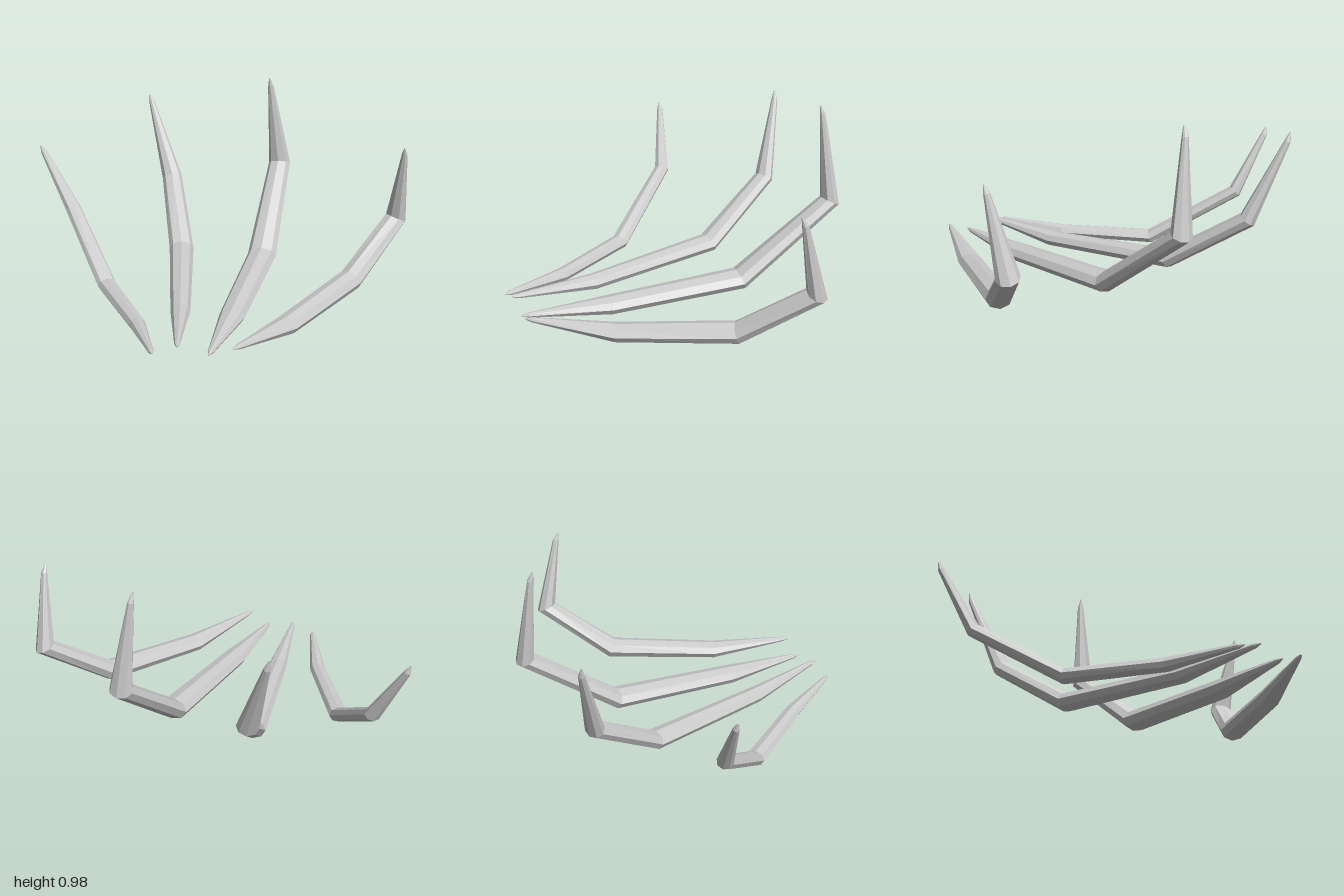
import * as THREE from 'three';

const SIDES = 8;

// Each claw: front point, three bend rings [x, y, z, half width, half thickness], raised point
const CLAWS = [
  { name: 'clawFarRight', path: [
    [-0.03, 0.07, 0.85], [-0.21, 0.04, 0.51, 0.042, 0.034], [-0.5, 0.042, 0.11, 0.05, 0.038],
    [-0.805, 0.32, -0.235, 0.042, 0.036], [-0.995, 0.655, -0.28]] },
  { name: 'clawInnerRight', path: [
    [0.085, 0.112, 0.835], [-0.02, 0.075, 0.39, 0.05, 0.04], [-0.205, 0.11, -0.31, 0.066, 0.047],
    [-0.365, 0.385, -0.695, 0.055, 0.045], [-0.525, 0.83, -0.81]] },
  { name: 'clawInnerLeft', path: [
    [0.232, 0.08, 0.82], [0.24, 0.072, 0.37, 0.065, 0.045], [0.245, 0.113, -0.32, 0.077, 0.052],
    [0.24, 0.485, -0.81, 0.06, 0.05], [0.183, 0.985, -0.757]] },
  { name: 'clawFarLeft', path: [
    [0.35, 0.13, 0.825], [0.52, 0.078, 0.42, 0.062, 0.044], [0.755, 0.112, -0.115, 0.066, 0.054],
    [0.945, 0.36, -0.425, 0.058, 0.054], [0.978, 0.78, -0.315]] },
];

// Lofts faceted oval rings along the bent path of one claw
function clawGeometry(path) {
  const pts = path.map(([x, y, z]) => new THREE.Vector3(x, y, z));
  const along = pts[3].clone().sub(pts[0]).setY(0).normalize();
  const sideways = new THREE.Vector3(0, 1, 0).cross(along).normalize();

  const rings = path.map(([, , , w = 0.003, h = 0.003], i) => {
    const before = pts[Math.max(i - 1, 0)], here = pts[i], after = pts[Math.min(i + 1, 4)];
    // Tangent halves the angle between the neighbouring segments
    const t = here.clone().sub(before).normalize()
      .add(after.clone().sub(here).normalize()).normalize();
    const s = sideways.clone().addScaledVector(t, -t.dot(sideways)).normalize();
    return { c: here, s, u: t.clone().cross(s), w, h };
  });

  // Small bevel rings just inside both points
  const front = { ...rings[0], c: pts[0].clone().lerp(pts[1], 0.08), w: 0.014, h: 0.013 };
  const end = { ...rings[4], w: 0.016, h: 0.016 };
  end.c = pts[4].clone().lerp(pts[3], 0.1).addScaledVector(end.u, -0.008);
  rings.splice(4, 0, end);
  rings.splice(1, 0, front);

  const pos = [], index = [];
  for (const { c, s, u, w, h } of rings) {
    for (let j = 0; j < SIDES; j++) {
      const a = (j / SIDES) * Math.PI * 2;
      const p = c.clone().addScaledVector(s, Math.cos(a) * w).addScaledVector(u, Math.sin(a) * h);
      pos.push(p.x, p.y, p.z);
    }
  }
  for (let i = 0; i < rings.length - 1; i++) {
    for (let j = 0; j < SIDES; j++) {
      const a = i * SIDES + j, b = i * SIDES + (j + 1) % SIDES;
      index.push(a, b, b + SIDES, a, b + SIDES, a + SIDES);
    }
  }
  // Close both points
  const last = (rings.length - 1) * SIDES;
  for (let j = 1; j < SIDES - 1; j++) {
    index.push(0, j + 1, j, last, last + j, last + j + 1);
  }
  const g = new THREE.BufferGeometry();
  g.setAttribute('position', new THREE.Float32BufferAttribute(pos, 3));
  g.setIndex(index);
  const flat = g.toNonIndexed();
  flat.computeVertexNormals();
  return flat;
}

export function createModel() {
  const group = new THREE.Group();
  group.name = 'claws';
  const material = new THREE.MeshStandardMaterial({ color: 0xcccccc, flatShading: true });
  for (const { name, path } of CLAWS) {
    const claw = new THREE.Mesh(clawGeometry(path), material);
    claw.name = name;
    group.add(claw);
  }
  return group;
}
